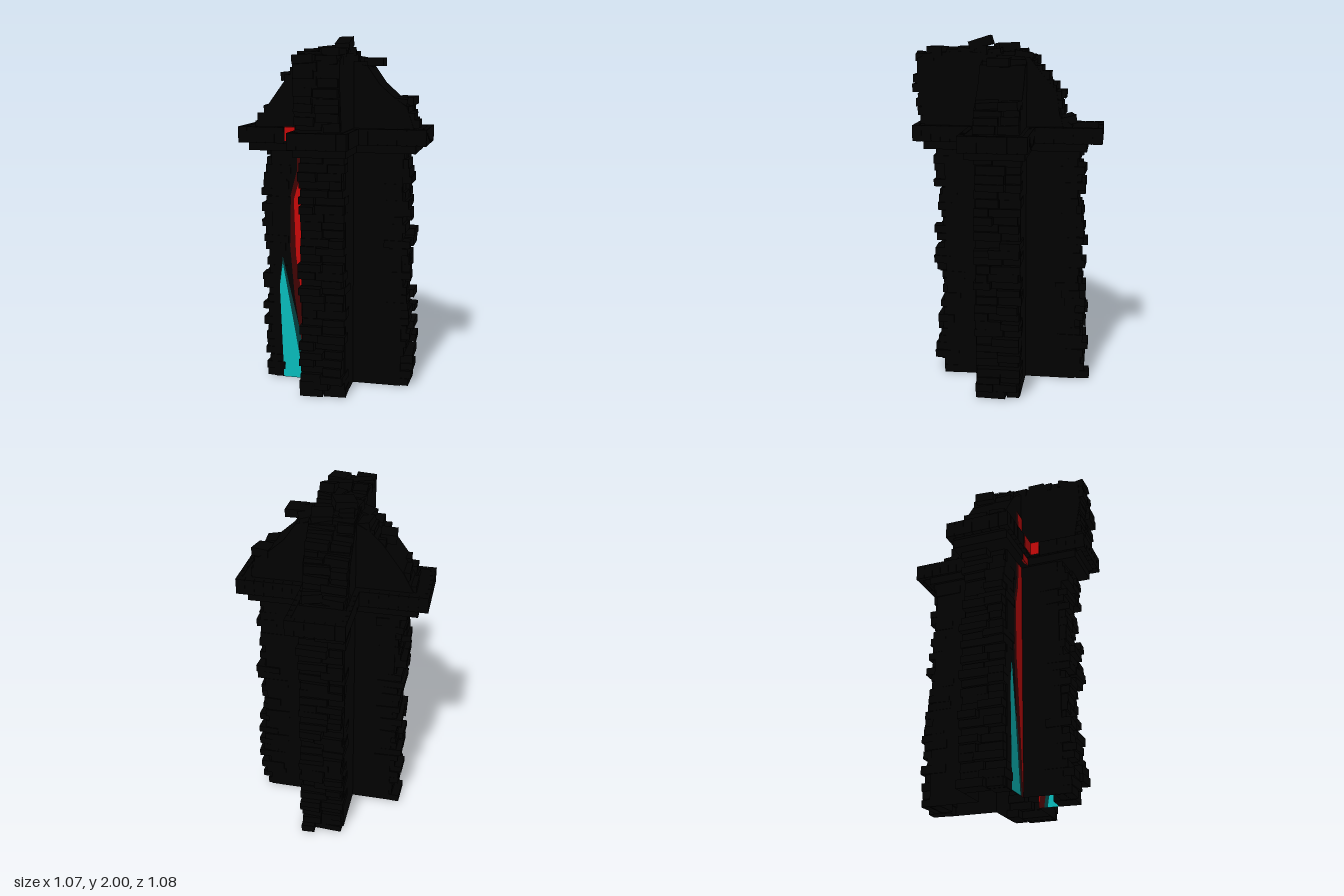
import * as THREE from 'three';
import { mergeGeometries } from 'three/addons/utils/BufferGeometryUtils.js';

const material = (color) => new THREE.MeshStandardMaterial({ color, flatShading: true, side: THREE.DoubleSide });
const stone = material(0x010101);
const red = material(0xc80808);
const darkRed = material(0x400303);
const cyan = material(0x08bcbc);
const darkCyan = material(0x033c3c);

let seed = 11;
const rand = (a = 0, b = 1) => {
  seed = (seed * 16807) % 2147483647;
  return a + (b - a) * seed / 2147483647;
};

const named = (geometry, mat, name) => {
  const mesh = new THREE.Mesh(geometry, mat);
  mesh.name = name;
  return mesh;
};

// Box geometry placed at a centre, optionally tilted
function brick(w, h, d, x, y, z, rx = 0, ry = 0, rz = 0) {
  const m = new THREE.Matrix4().makeRotationFromEuler(new THREE.Euler(rx, ry, rz));
  return new THREE.BoxGeometry(w, h, d).applyMatrix4(m.setPosition(x, y, z));
}

// Outline of a cross: extents of both arms and the strips they occupy (x, z)
const crossPoints = (x0, x1, z0, z1, ax0, ax1, az0, az1) => [
  [ax0, z0], [ax1, z0], [ax1, az0], [x1, az0], [x1, az1], [ax1, az1],
  [ax1, z1], [ax0, z1], [ax0, az1], [x0, az1], [x0, az0], [ax0, az0],
];

function crossSlab(points, y0, y1) {
  const shape = new THREE.Shape(points.map(([x, z]) => new THREE.Vector2(x, -z)));
  const g = new THREE.ExtrudeGeometry(shape, { depth: y1 - y0, bevelEnabled: false });
  return g.rotateX(-Math.PI / 2).translate(0, y0, 0);
}

// Calls back with start, direction and length for every side of an outline
function eachSide(points, visit) {
  points.forEach(([ax, az], i) => {
    const [bx, bz] = points[(i + 1) % points.length];
    const len = Math.hypot(bx - ax, bz - az);
    visit(ax, az, (bx - ax) / len, (bz - az) / len, len);
  });
}

// Thin upright walls around an outline, open below
function openWalls(points, height) {
  const parts = [];
  eachSide(points, (x, z, ux, uz, len) => {
    parts.push(new THREE.PlaneGeometry(len, height).rotateY(Math.PI - Math.atan2(uz, ux))
      .translate(x + ux * len / 2, height / 2, z + uz * len / 2));
  });
  return mergeGeometries(parts);
}

// Row of small blocks just inside an outline
function edgeBlocks(points, y0, y1, size) {
  const parts = [];
  eachSide(points, (x, z, ux, uz, len) => {
    const n = Math.max(1, Math.round(len / size));
    for (let k = 0; k < n; k++) {
      const t = (k + 0.5) / n * len;
      parts.push(brick(len / n - 0.003, y1 - y0, 0.03, x + ux * t - uz * 0.015, (y0 + y1) / 2,
        z + uz * t + ux * 0.015, 0, -Math.atan2(uz, ux), 0));
    }
  });
  return mergeGeometries(parts);
}

// Ragged brick courses closing the end of an arm that runs along +x
function endCourses(low, high) {
  const parts = [];
  const rows = 30, rowH = 1.37 / rows;
  for (let i = 0; i < rows; i++) {
    const y = (i + 0.5) * rowH;
    const reach = THREE.MathUtils.lerp(low, high, i / rows);
    const split = rand(-0.05, 0.05);
    [[-rand(0.115, 0.134), split], [split, rand(0.115, 0.134)]].forEach(([a, b]) => {
      const out = reach + rand(-0.04, 0.02);
      const depth = rand(0.09, 0.16);
      const h = Math.min(rowH * rand(0.85, 1.1), 2 * y);
      parts.push(brick(depth, h, b - a - 0.004, out - depth / 2, y, (a + b) / 2,
        0, rand(-0.06, 0.06), i ? rand(-0.03, 0.03) : 0));
    });
  }
  return mergeGeometries(parts);
}

// Solid broken crown of an arm, filled below its skyline
function crownCore(profile) {
  const shape = new THREE.Shape();
  shape.moveTo(0, 1.45);
  shape.lineTo(profile[profile.length - 1][0], 1.45);
  [...profile].reverse().forEach(([x, y]) => shape.lineTo(x, y));
  return new THREE.ExtrudeGeometry(shape, { depth: 0.25, bevelEnabled: false }).translate(0, 0, -0.125);
}

// Loose bricks lying along the skyline; bare marks the stretches left as smooth slope
function crownBricks(profile, bare) {
  const parts = [];
  for (let i = 0; i < profile.length - 1; i++) {
    if (bare.includes(i)) continue;
    const [x0, y0] = profile[i], [x1, y1] = profile[i + 1];
    const steep = Math.abs(y1 - y0) > Math.abs(x1 - x0);
    const n = Math.max(1, Math.round(Math.hypot(x1 - x0, y1 - y0) / (steep ? 0.048 : 0.09)));
    const turn = steep ? 0.06 : 0.35;
    for (let k = 0; k < n; k++) {
      const t = (k + 0.5) / n;
      const x = x0 + (x1 - x0) * t, y = y0 + (y1 - y0) * t;
      const split = rand(-0.05, 0.05);
      [[-0.125, split], [split, 0.125]].forEach(([a, b]) => {
        parts.push(brick(rand(0.08, 0.11), 0.046, (b - a) * 0.92,
          x + rand(-0.02, 0.02) - (steep ? 0.03 : 0), y + rand(-0.015, 0.01), (a + b) / 2,
          rand(-0.06, 0.06), rand(-turn, turn), steep ? rand(-0.06, 0.06) : rand(-0.2, 0.2)));
      });
    }
  }
  return mergeGeometries(parts);
}

// Painted wall outlines: distance from the inner corner, height
const paint = [
  ['wallDarkRed', darkRed, [[0, 0], [0.03, 0], [0.1, 0.5], [0.125, 0.8], [0.12, 1.1], [0.08, 1.25], [0.08, 1.365], [0, 1.365]]],
  ['wallRed', red, [[0, 0], [0.012, 0.1], [0.05, 0.45], [0.09, 0.75], [0.1, 1.08], [0.06, 1.22], [0.055, 1.365], [0, 1.365]]],
  ['wallDarkCyan', darkCyan, [[0.03, 0], [0.17, 0], [0.19, 0.58], [0.17, 0.74], [0.07, 0.3]]],
  ['wallCyan', cyan, [[0.05, 0], [0.17, 0], [0.19, 0.56], [0.17, 0.7], [0.1, 0.3]]],
  ['crownDarkRed', darkRed, [[0, 1.5], [0.095, 1.5], [0.085, 1.71], [0, 1.71]]],
  ['crownRed', red, [[0, 1.55], [0.05, 1.55], [0.07, 1.7], [0, 1.7]]],
];

// One painted wall; layers step off the wall to the side given by step
function paintedWall(name, x, z, turn, step, layers) {
  const wall = new THREE.Group();
  wall.name = name;
  wall.position.set(x, 0, z);
  wall.rotation.y = turn;
  layers.forEach(([part, mat, pts], i) => {
    const shape = new THREE.Shape(pts.map((p) => new THREE.Vector2(...p)));
    const mesh = named(new THREE.ShapeGeometry(shape), mat, part);
    mesh.position.z = step * (i + 1);
    wall.add(mesh);
  });
  return wall;
}

export function createModel() {
  const model = new THREE.Group();
  model.name = 'ruinedCrossPillar';

  // Smooth hollow walls, open at the foot
  const body = crossPoints(-0.36, 0.4, -0.4, 0.36, -0.13, 0.12, -0.11, 0.14);
  model.add(named(openWalls(body, 1.38), stone, 'hollowWalls'));

  // Stepped cornice: narrow ledge under a wide band
  const ledge = crossPoints(-0.48, 0.475, -0.45, 0.475, -0.145, 0.145, -0.14, 0.185);
  const band = crossPoints(-0.535, 0.535, -0.535, 0.535, -0.16, 0.16, -0.16, 0.21);
  const bandCore = crossPoints(-0.532, 0.532, -0.532, 0.532, -0.157, 0.157, -0.157, 0.207);
  model.add(named(crossSlab(ledge, 1.365, 1.42), stone, 'lowerLedge'));
  model.add(named(crossSlab(bandCore, 1.415, 1.497), stone, 'corniceCore'));
  model.add(named(edgeBlocks(band, 1.41, 1.5, 0.054), stone, 'corniceBlocks'));

  // Four arms: direction, end reach at foot and head, skyline, bare stretches
  const arms = [
    ['left', 0, 0.465, 0.435,
      [[0, 1.88], [0.2, 1.84], [0.27, 1.74], [0.36, 1.66], [0.42, 1.62], [0.46, 1.5]], [1, 2]],
    ['back', Math.PI / 2, 0.485, 0.435,
      [[0, 1.89], [0.14, 1.88], [0.21, 1.79], [0.29, 1.7], [0.31, 1.56], [0.38, 1.51]], []],
    ['right', Math.PI, 0.415, 0.4,
      [[0, 1.91], [0.1, 1.88], [0.2, 1.83], [0.27, 1.76], [0.38, 1.61], [0.44, 1.5]], [3]],
    ['front', -Math.PI / 2, 0.405, 0.39,
      [[0, 1.9], [0.25, 1.91], [0.42, 1.9], [0.49, 1.87], [0.495, 1.74], [0.455, 1.5]], []],
  ];
  for (const [name, angle, low, high, skyline, bare] of arms) {
    const arm = new THREE.Group();
    arm.name = name + 'Arm';
    arm.position.set(-0.005, 0, 0.015);
    arm.rotation.y = angle;
    arm.add(named(endCourses(low, high), stone, 'endBricks'));
    arm.add(named(crownCore(skyline), stone, 'crownCore'));
    arm.add(named(crownBricks(skyline, bare), stone, 'crownBricks'));
    model.add(arm);
  }

  // Single bricks standing proud of the crown
  model.add(named(brick(0.08, 0.05, 0.13, 0.07, 1.955, 0.15, 0.3, 0, 0.04), stone, 'peakBrick'));
  model.add(named(brick(0.12, 0.05, 0.12, -0.04, 1.925, 0.02, 0, 0.4, 0.1), stone, 'peakSlab'));
  model.add(named(brick(0.11, 0.045, 0.12, 0.22, 1.86, 0.03), stone, 'overhangingBrick'));
  model.add(named(brick(0.09, 0.05, 0.11, -0.29, 1.78, -0.02, 0, 0.1, 0.1), stone, 'slopeBrick'));

  // Painted marks on the front right corner, and inside the front left one
  const marks = new THREE.Group();
  marks.name = 'paintedMarks';
  marks.add(paintedWall('outerPaint', -0.13, 0.14, Math.PI, -0.001, paint));
  marks.add(paintedWall('innerSidePaint', 0.12, 0.14, -Math.PI / 2, 0.001, paint.slice(0, 4)));
  marks.add(paintedWall('innerFrontPaint', 0.12, 0.14, 0, -0.001, paint.slice(0, 2)));
  marks.add(named(brick(0.1, 0.08, 0.016, -0.212, 1.463, 0.203), red, 'corniceRedFront'));
  marks.add(named(brick(0.014, 0.08, 0.052, -0.154, 1.463, 0.234), red, 'corniceRedSide'));
  marks.add(named(brick(0.075, 0.04, 0.012, -0.183, 1.385, 0.181), red, 'ledgeRed'));
  model.add(marks);

  return model;
}
